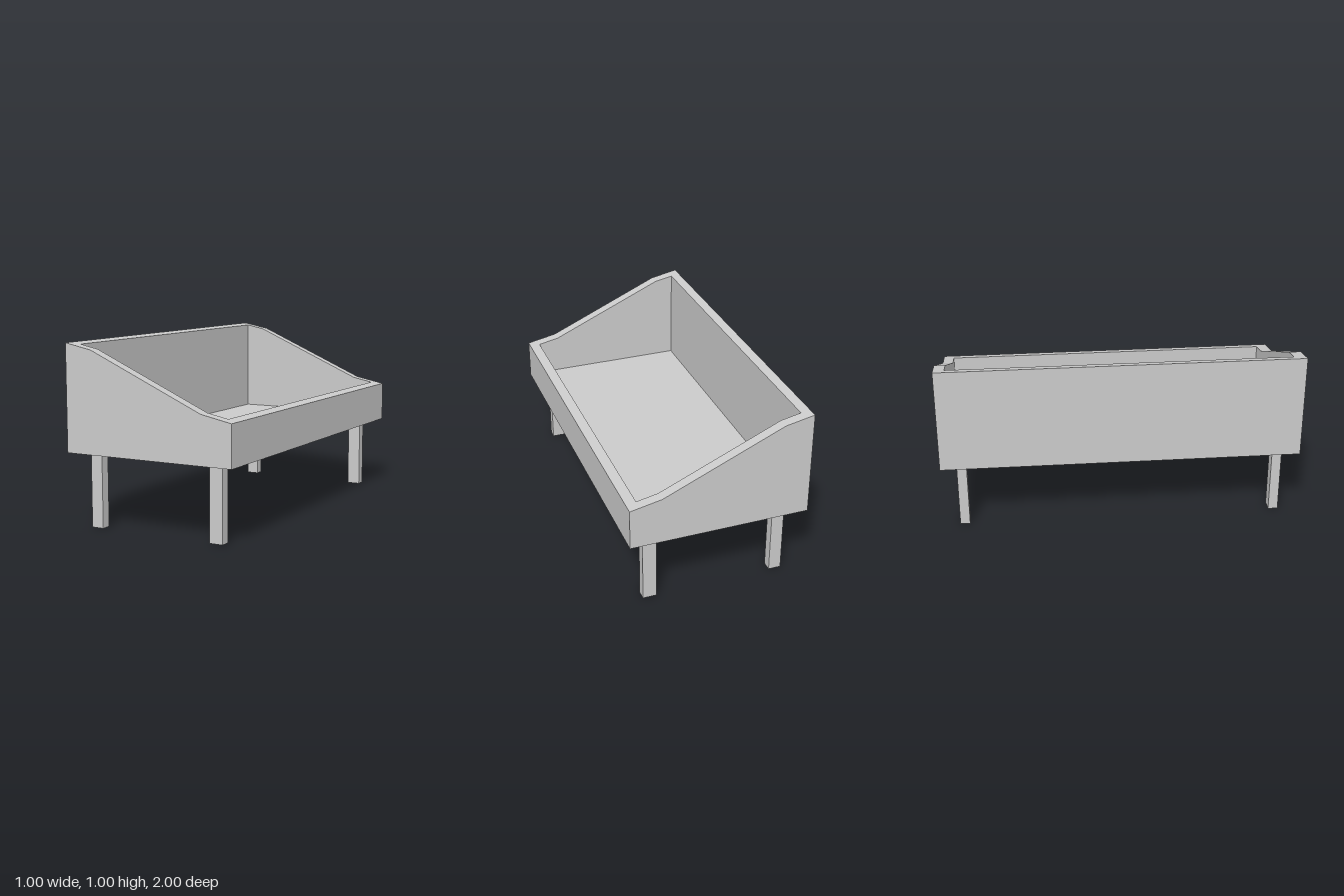
import * as THREE from 'three';

const BASE = 0.412, FLOOR = 0.452;
const INNER = { x0: -0.45, x1: 0.445, z0: -0.94, z1: 0.935 };
// Rim height across the bed, from the tall wall to the low wall
const RIM = [[-0.5, 1], [-0.34, 0.968], [0.325, 0.675], [0.5, 0.64]];

function rimHeight(x) {
  let i = 0;
  while (i < RIM.length - 2 && x > RIM[i + 1][0]) i++;
  const [xa, ya] = RIM[i], [xb, yb] = RIM[i + 1];
  return ya + (yb - ya) * (x - xa) / (xb - xa);
}

export function createModel() {
  const model = new THREE.Group();
  model.name = 'raisedPlanter';
  const material = new THREE.MeshStandardMaterial({ color: 0xcccccc, flatShading: true });

  const add = (name, geometry) => {
    const mesh = new THREE.Mesh(geometry, material);
    mesh.name = name;
    model.add(mesh);
  };

  const addBox = (name, x0, x1, y0, y1, z0, z1) => {
    const box = new THREE.BoxGeometry(x1 - x0, y1 - y0, z1 - z0);
    add(name, box.translate((x0 + x1) / 2, (y0 + y1) / 2, (z0 + z1) / 2));
  };

  // A wall whose top follows the rim between x0 and x1
  const addWall = (name, x0, x1, z0, z1) => {
    const top = [x0, ...RIM.map(p => p[0]).filter(x => x > x0 && x < x1), x1];
    const outline = [[x0, BASE], [x1, BASE], ...top.reverse().map(x => [x, rimHeight(x)])];
    const shape = new THREE.Shape(outline.map(([x, y]) => new THREE.Vector2(x, y)));
    const wall = new THREE.ExtrudeGeometry(shape, { depth: z1 - z0, bevelEnabled: false });
    add(name, wall.translate(0, 0, z0));
  };

  // Sloping end walls, then the long walls between them
  addWall('frontWall', -0.5, 0.5, INNER.z1, 1);
  addWall('backWall', -0.5, 0.5, -1, INNER.z0);
  addWall('tallWall', -0.5, INNER.x0, INNER.z0, INNER.z1);
  addWall('lowWall', INNER.x1, 0.5, INNER.z0, INNER.z1);

  // Tray floor
  addBox('floor', INNER.x0, INNER.x1, BASE, FLOOR, INNER.z0, INNER.z1);

  // Four legs
  for (const [end, z0, z1] of [['front', 0.865, 0.92], ['back', -0.915, -0.86]]) {
    addBox(end + 'RightLeg', -0.405, -0.335, 0, BASE, z0, z1);
    addBox(end + 'LeftLeg', 0.327, 0.403, 0, BASE, z0, z1);
  }

  return model;
}
